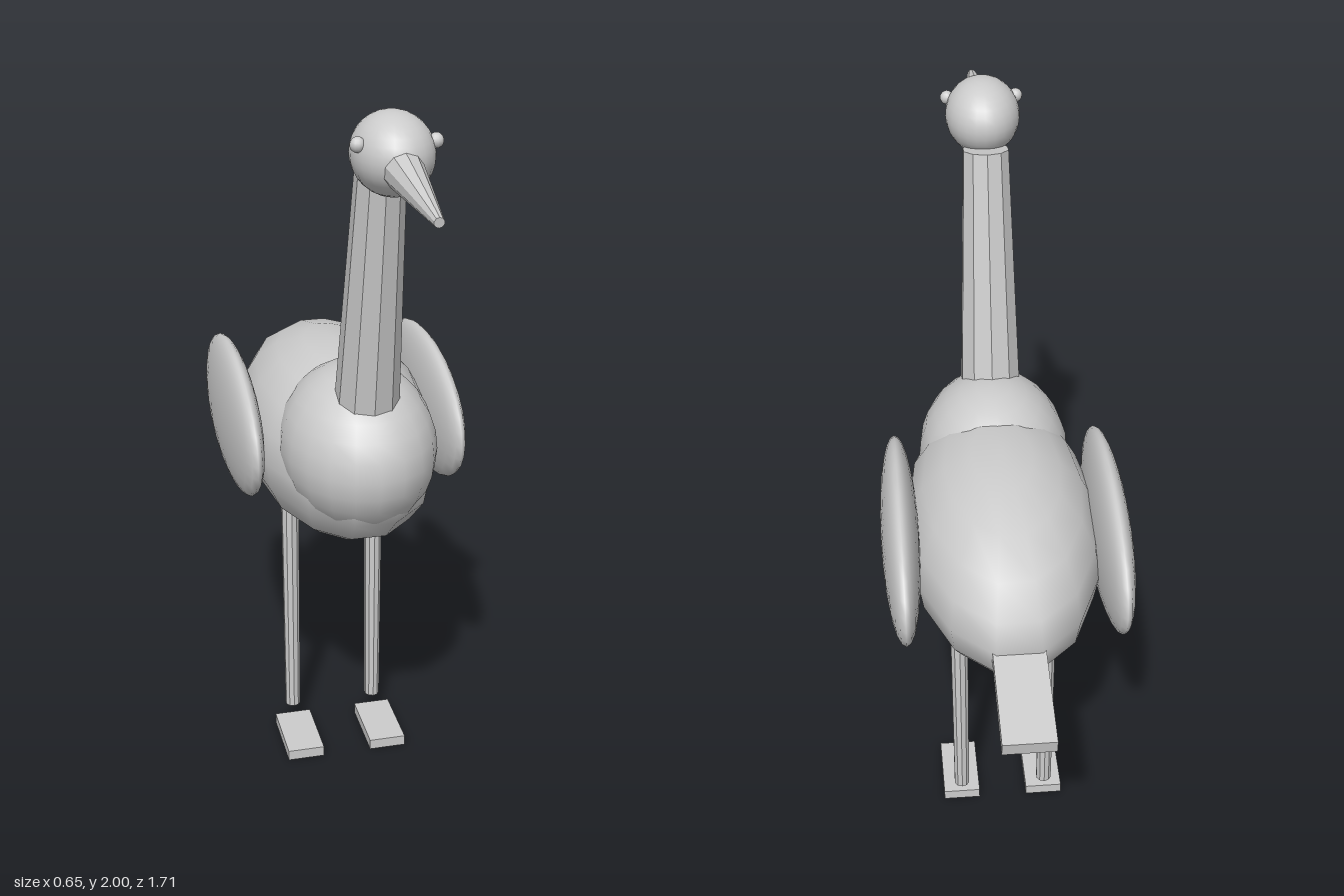
import * as THREE from 'three';

export function createModel() {
  const bird = new THREE.Group();
  bird.name = 'wadingBird';
  const grey = new THREE.MeshStandardMaterial({ color: 0xcccccc });
  grey.name = 'light grey';
  const facetedGrey = grey.clone();
  facetedGrey.flatShading = true;
  facetedGrey.name = 'light grey faceted';

  function add(name, geometry, x, y, z, material = grey) {
    const mesh = new THREE.Mesh(geometry, material);
    mesh.name = name;
    mesh.position.set(x, y, z);
    bird.add(mesh);
    return mesh;
  }

  // Ellipsoid with the given radii
  function ellipsoid(name, [x, y, z], [rx, ry, rz], segments, rows) {
    const geometry = new THREE.SphereGeometry(1, segments, rows).scale(rx, ry, rz);
    return add(name, geometry, x, y, z);
  }

  // Tapered faceted rod between two points in the middle plane or beside it
  function rod(name, from, to, r0, r1, sides) {
    const a = new THREE.Vector3(...from), b = new THREE.Vector3(...to);
    const axis = b.clone().sub(a);
    const geometry = new THREE.CylinderGeometry(r1, r0, axis.length(), sides);
    const mid = a.clone().add(b).multiplyScalar(0.5);
    const mesh = add(name, geometry, mid.x, mid.y, mid.z, facetedGrey);
    mesh.quaternion.setFromUnitVectors(new THREE.Vector3(0, 1, 0), axis.normalize());
    return mesh;
  }

  // Torso, chest and neck
  ellipsoid('body', [0, 0.987, -0.115], [0.258, 0.257, 0.503], 14, 10);
  ellipsoid('chest', [0, 1.05, 0.15], [0.205, 0.22, 0.262], 20, 14);
  rod('neck', [0, 1.2, 0.251], [0, 1.853, 0.371], 0.083, 0.061, 10);

  // Head and beak
  ellipsoid('head', [0, 1.903, 0.472], [0.097, 0.097, 0.122], 24, 16);
  rod('beak', [0, 1.891, 0.54], [0, 1.853, 0.853], 0.051, 0.012, 10);

  // Sloping tail plate
  const tail = add('tail', new THREE.BoxGeometry(0.132, 0.04, 0.32), 0, 0.947, -0.695, facetedGrey);
  tail.rotation.x = -0.2;

  // Paired parts
  for (const [side, s] of [['left', 1], ['right', -1]]) {
    ellipsoid(side + 'Eye', [s * 0.09, 1.936, 0.511], [0.018, 0.018, 0.018], 12, 8);
    ellipsoid(side + 'Wing', [s * 0.272, 1.027, -0.175], [0.051, 0.188, 0.375], 24, 16);
    rod(side + 'Leg', [s * 0.122, 0.068, -0.156], [s * 0.122, 0.85, -0.156], 0.022, 0.026, 10);
    add(side + 'Foot', new THREE.BoxGeometry(0.105, 0.03, 0.2), s * 0.122, 0.015, -0.06, facetedGrey);
  }
  return bird;
}
